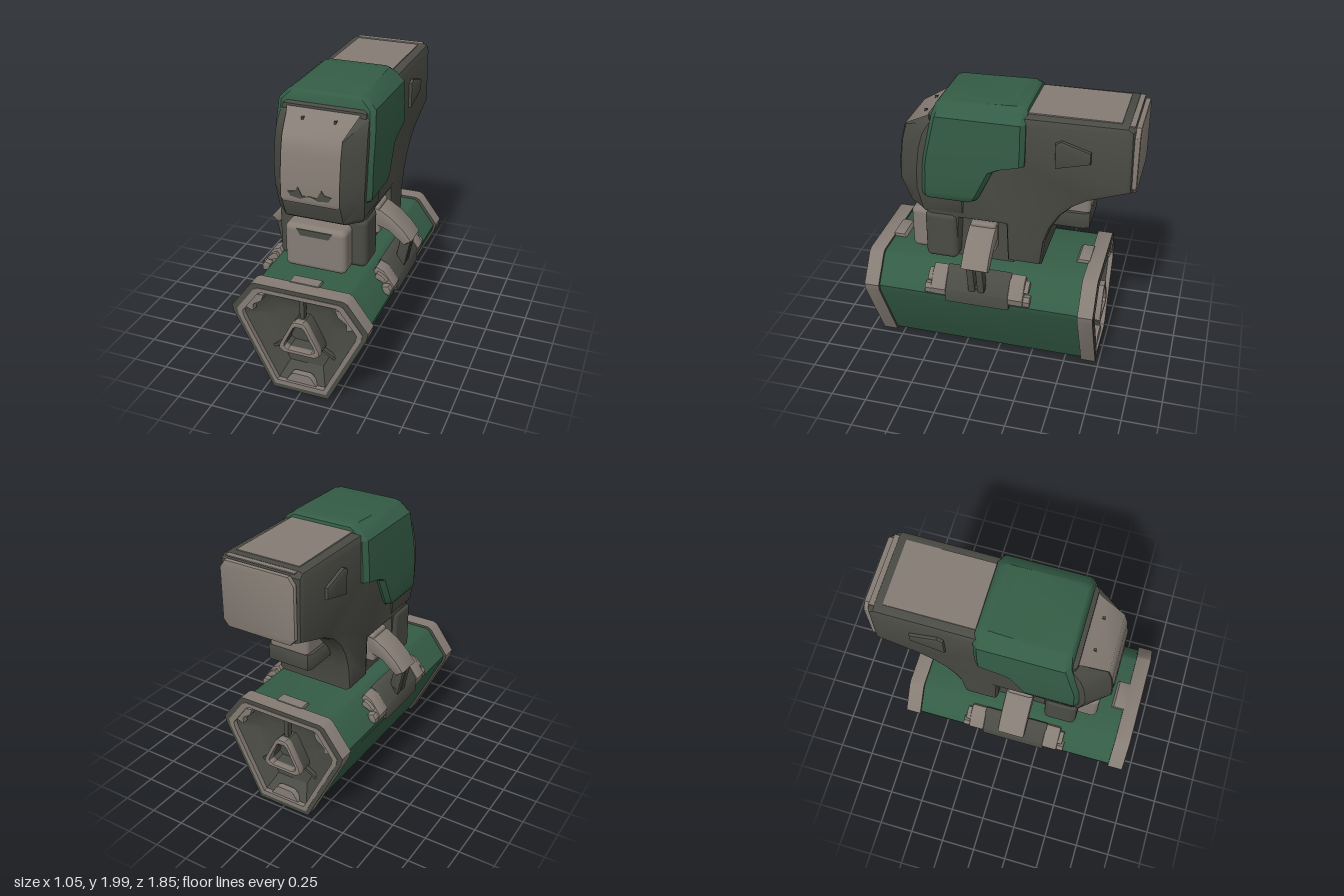
import * as THREE from 'three';
import { toCreasedNormals } from 'three/addons/utils/BufferGeometryUtils.js';
import { RoundedBoxGeometry } from 'three/addons/geometries/RoundedBoxGeometry.js';

const mat = (name, color, side = THREE.FrontSide) => {
  const m = new THREE.MeshStandardMaterial({ color, side });
  m.name = name;
  return m;
};

export function createModel() {
  const root = new THREE.Group();
  root.name = 'canisterDevice';
  const green = mat('green', 0x345c45);
  const grey = mat('warmGrey', 0x857c74, THREE.DoubleSide);
  const dark = mat('darkGrey', 0x4b4b45, THREE.DoubleSide);

  const add = (name, geo, material, parent = root) => {
    const m = new THREE.Mesh(geo, material);
    m.name = name;
    parent.add(m);
    return m;
  };
  const vec = (pts) => pts.map(([a, b]) => new THREE.Vector2(a, b));
  const mirrorX = (pts) => [...pts, ...pts.slice().reverse().map(([x, y]) => [-x, y])];
  const scaled = (pts, k, cy = 0.43) => pts.map(([x, y]) => [x * k, cy + (y - cy) * k]);

  // Outline in x and y, extruded from z0 to z1
  const prism = (pts, z0, z1, bevel = 0, hole = null) => {
    const shape = new THREE.Shape(vec(pts));
    if (hole) shape.holes.push(new THREE.Path(vec(hole)));
    const g = new THREE.ExtrudeGeometry(shape, {
      depth: z1 - z0 - 2 * bevel, bevelEnabled: bevel > 0,
      bevelSize: bevel, bevelThickness: bevel, bevelOffset: -bevel, bevelSegments: 2,
    });
    g.translate(0, 0, z0 + bevel);
    return toCreasedNormals(g, 0.6);
  };
  // Outline in z and y, extruded across x
  const slab = (pts, x0, x1, bevel) => prism(pts, -x1, -x0, bevel).rotateY(-Math.PI / 2);

  // Skin over a list of rings with equal point counts
  const ringLoft = (rings, capStart = true, capEnd = true) => {
    const n = rings[0].length, idx = [];
    for (let r = 0; r < rings.length - 1; r++) {
      for (let i = 0; i < n; i++) {
        const a = r * n + i, b = r * n + (i + 1) % n;
        idx.push(a, b, b + n, a, b + n, a + n);
      }
    }
    const last = (rings.length - 1) * n;
    for (let i = 1; i < n - 1; i++) {
      if (capStart) idx.push(0, i + 1, i);
      if (capEnd) idx.push(last, last + i, last + i + 1);
    }
    const g = new THREE.BufferGeometry();
    g.setAttribute('position', new THREE.Float32BufferAttribute(rings.flat(2), 3));
    g.setIndex(idx);
    return toCreasedNormals(g, 0.55);
  };
  // Horizontal section: height, back, front, half width, front corner cut in x and z
  const section = ([y, zb, zf, w, cx, cz]) => {
    const c = 0.03;
    return [[w, zf - cz], [w, zb + c], [w - c, zb], [c - w, zb], [-w, zb + c],
      [-w, zf - cz], [cx - w, zf], [w - cx, zf]].map(([x, z]) => [x, y, z]);
  };

  // Canister tube
  const hex = mirrorX([[0.2, 0.01], [0.47, 0.56], [0.48, 0.61], [0.34, 0.8], [0.31, 0.815]]);
  add('canisterTube', prism(scaled(hex, 0.955), -0.66, 0.85, 0, scaled(hex, 0.9)), green);

  // Canister ends: rim, inner ring, sunken dish and triangular hub
  const hub = mirrorX([[0.11, 0.325], [0.145, 0.35], [0.14, 0.385], [0.05, 0.565], [0.03, 0.58]]);
  const ringAt = (k, z) => scaled(hex, k).map(([x, y]) => [x, y, z]);
  for (const [z, turn] of [[0.92, 0], [-0.73, Math.PI]]) {
    const end = new THREE.Group();
    end.name = turn ? 'backEnd' : 'frontEnd';
    end.position.z = z;
    end.rotation.y = turn;
    root.add(end);
    add('endRim', prism(hex, -0.11, -0.004, 0, scaled(hex, 0.9)), [dark, grey], end);
    add('innerRing', prism(scaled(hex, 0.92), -0.06, 0, 0, scaled(hex, 0.84)), grey, end);
    add('dish', ringLoft([ringAt(0.42, -0.13), ringAt(0.6, -0.12), ringAt(0.85, -0.03)], true, false), dark, end);
    add('hubRing', prism(hub, -0.05, 0.005, 0.008, scaled(hub, 0.74, 0.43)), grey, end);
    add('hubWall', prism(scaled(hub, 0.97), -0.13, -0.04, 0, scaled(hub, 0.76)), dark, end);
    add('topTab', slab([[-0.2, 0.79], [-0.18, 0.822], [-0.1, 0.822], [-0.1, 0.79]], -0.1, 0.1, 0.004), grey, end);
    add('lowerCatch', prism(mirrorX([[0.11, 0.08], [0.07, 0.14], [0.05, 0.15]]), -0.06, -0.015), grey, end);
    for (const s of [-1, 1]) {
      add('upperCatch', prism([[0.25, 0.73], [0.34, 0.72], [0.39, 0.61], [0.33, 0.59], [0.33, 0.64], [0.27, 0.68]]
        .map(([x, y]) => [s * x, y]), -0.06, -0.015), grey, end);
      const rib = add('dishRib', new THREE.BoxGeometry(0.02, 0.16, 0.03), dark, end);
      rib.position.set(s * 0.19, 0.31, -0.095);
      rib.rotation.z = s * 1.05;
    }
    add('topRib', new THREE.BoxGeometry(0.03, 0.15, 0.04), dark, end).position.set(0, 0.65, -0.08);
  }

  // Main housing with curved rear underside
  add('housing', slab([[0.45, 1.9], [0.3, 1.95], [-0.85, 1.96], [-0.89, 1.93], [-0.9, 1.5], [-0.62, 1.4],
    [-0.52, 1.34], [-0.44, 1.26], [-0.38, 1.16], [-0.34, 1.04], [-0.32, 0.85], [-0.08, 0.85],
    [-0.07, 1.14], [0.25, 1.14], [0.27, 0.85], [0.48, 0.85], [0.5, 1.3]], -0.295, 0.295, 0.04), dark);
  add('frontLeg', new RoundedBoxGeometry(0.62, 0.36, 0.23, 3, 0.04), dark).position.set(0, 0.995, 0.385);
  add('neckCore', new THREE.BoxGeometry(0.42, 0.38, 0.4), dark).position.set(0, 0.97, 0.09);

  // Tapered front of the housing
  add('frontShell', ringLoft([
    [1.17, 0.2, 0.58, 0.28, 0.08, 0.08], [1.2, 0.2, 0.625, 0.3, 0.1, 0.12],
    [1.36, 0.2, 0.69, 0.31, 0.11, 0.15], [1.5, 0.2, 0.685, 0.315, 0.115, 0.15],
    [1.66, 0.2, 0.665, 0.315, 0.115, 0.15], [1.77, 0.2, 0.635, 0.31, 0.11, 0.15],
    [1.86, 0.2, 0.47, 0.3, 0.06, 0.04], [1.9, 0.2, 0.41, 0.29, 0.03, 0.03],
  ].map(section)), dark);

  // Curved face plate
  const plateRows = [[1.91, 0.418, 0.265], [1.865, 0.478, 0.24], [1.775, 0.641, 0.2], [1.66, 0.671, 0.2],
    [1.5, 0.691, 0.2], [1.36, 0.695, 0.2], [1.33, 0.684, 0.19]];
  const plate = new THREE.PlaneGeometry(1, 1, 1, plateRows.length - 1);
  plateRows.forEach(([y, z, w], i) => {
    plate.attributes.position.setXYZ(2 * i, -w, y, z);
    plate.attributes.position.setXYZ(2 * i + 1, w, y, z);
  });
  plate.computeVertexNormals();
  add('facePlate', plate, grey);
  for (const s of [-1, 1]) {
    add('faceSlot', prism([[0.0, 1.395], [0.05, 1.39], [0.08, 1.45], [0.1, 1.42], [0.15, 1.41], [0.13, 1.38], [0.06, 1.37]]
      .map(([x, y]) => [s * x, y]), 0.69, 0.698), dark);
    add('facePin', new THREE.BoxGeometry(0.015, 0.02, 0.02), dark).position.set(s * 0.11, 1.845, 0.52);
  }

  // Green hood
  add('hood', ringLoft([
    [1.305, 0.15, 0.49, 0.325, 0.03, 0.03], [1.32, 0.125, 0.503, 0.335, 0.03, 0.03],
    [1.36, 0.1, 0.503, 0.342, 0.03, 0.03], [1.55, 0.01, 0.495, 0.342, 0.03, 0.03],
    [1.585, -0.06, 0.49, 0.342, 0.03, 0.03], [1.62, -0.2, 0.485, 0.342, 0.03, 0.03],
    [1.75, -0.205, 0.455, 0.34, 0.03, 0.03], [1.91, -0.205, 0.42, 0.33, 0.03, 0.03],
    [1.97, -0.205, 0.405, 0.27, 0.03, 0.03], [1.985, -0.2, 0.39, 0.245, 0.03, 0.03],
    [2.0, -0.18, -0.08, 0.23, 0.03, 0.03],
  ].map(section)), green);

  // Rear top panel and end cap
  add('rearTopPanel', new THREE.BoxGeometry(0.46, 0.008, 0.6), grey).position.set(0, 1.961, -0.5);
  add('rearTopStrip', new THREE.BoxGeometry(0.5, 0.008, 0.05), grey).position.set(0, 1.955, -0.86);
  add('rearCap', prism(mirrorX([[0.23, 1.485], [0.27, 1.53], [0.27, 1.89], [0.23, 1.945]]), -0.925, -0.885, 0.015), grey);

  // Front box with slot
  add('frontBox', new RoundedBoxGeometry(0.43, 0.32, 0.16, 3, 0.04), grey).position.set(0, 0.975, 0.553);
  add('frontBoxSlot', prism(mirrorX([[0.1, 1.065], [0.125, 1.11]]), 0.629, 0.635), dark);

  // Rear socket under the tail
  add('socketHousing', new RoundedBoxGeometry(0.3, 0.18, 0.34, 2, 0.03), grey).position.set(0, 1.31, -0.45);
  const socket = [[-0.15, -0.62], [0.15, -0.62], [0.17, -0.58], [0.17, -0.3], [-0.17, -0.3], [-0.17, -0.58]];
  const socketHole = [[-0.1, -0.57], [0.1, -0.57], [0.1, -0.4], [-0.1, -0.4]];
  add('socketRim', prism(socket.map(([x, z]) => [x, -z]), 1.12, 1.24, 0.012, socketHole.map(([x, z]) => [x, -z]))
    .rotateX(-Math.PI / 2), dark);

  // Mirrored side parts
  for (const s of [-1, 1]) {
    const side = new THREE.Group();
    side.name = s > 0 ? 'leftSide' : 'rightSide';
    root.add(side);
    const flip = (pts) => pts.map(([x, y]) => [s * x, y]);
    const vent = [[-0.4, 1.63], [-0.63, 1.69], [-0.63, 1.77], [-0.44, 1.83], [-0.4, 1.81]];
    add('sidePlate', slab(vent, s > 0 ? 0.28 : -0.318, s > 0 ? 0.318 : -0.28, 0.012), dark, side);

    // Clamp arm and its double link
    add('armMount', new RoundedBoxGeometry(0.12, 0.22, 0.18, 2, 0.02), grey, side).position.set(s * 0.23, 1.02, 0.09);
    add('clampArm', prism(flip([[0.24, 1.11], [0.3, 1.1], [0.38, 1.05], [0.46, 0.98], [0.525, 0.9], [0.47, 0.86],
      [0.42, 0.9], [0.36, 0.95], [0.24, 0.99]]), -0.005, 0.185, 0.012), grey, side);
    for (const z of [0.035, 0.1]) {
      add('clampLink', prism(flip([[0.43, 0.87], [0.46, 0.93], [0.5, 0.92], [0.505, 0.87], [0.46, 0.64], [0.39, 0.66]]),
        z, z + 0.05, 0.008), dark, side);
    }
    add('clampPin', new THREE.CylinderGeometry(0.025, 0.025, 0.12, 10).rotateX(Math.PI / 2), dark, side)
      .position.set(s * 0.435, 0.71, 0.09);

    // Saddle on the canister shoulder, with forked clips at both ends
    add('saddle', prism(flip([[0.33, 0.76], [0.35, 0.805], [0.39, 0.79], [0.475, 0.67], [0.48, 0.575], [0.43, 0.575]]),
      -0.14, 0.32, 0.012), dark, side);
    for (const [base, d] of [[0.31, 1], [-0.13, -1]]) {
      const span = (a, b) => [base + d * a, base + d * b].sort((p, q) => p - q);
      add('clip', prism(flip([[0.32, 0.74], [0.355, 0.8], [0.41, 0.775], [0.485, 0.67], [0.475, 0.62], [0.42, 0.63]]),
        ...span(0, 0.11), 0.012), grey, side);
      add('clipUpperProng', prism(flip([[0.35, 0.73], [0.37, 0.77], [0.405, 0.755], [0.445, 0.715], [0.42, 0.7]]),
        ...span(0.08, 0.14), 0.006), grey, side);
      add('clipLowerProng', prism(flip([[0.41, 0.68], [0.455, 0.69], [0.475, 0.66], [0.47, 0.62], [0.43, 0.63]]),
        ...span(0.08, 0.155), 0.006), grey, side);
    }
  }
  return root;
}
